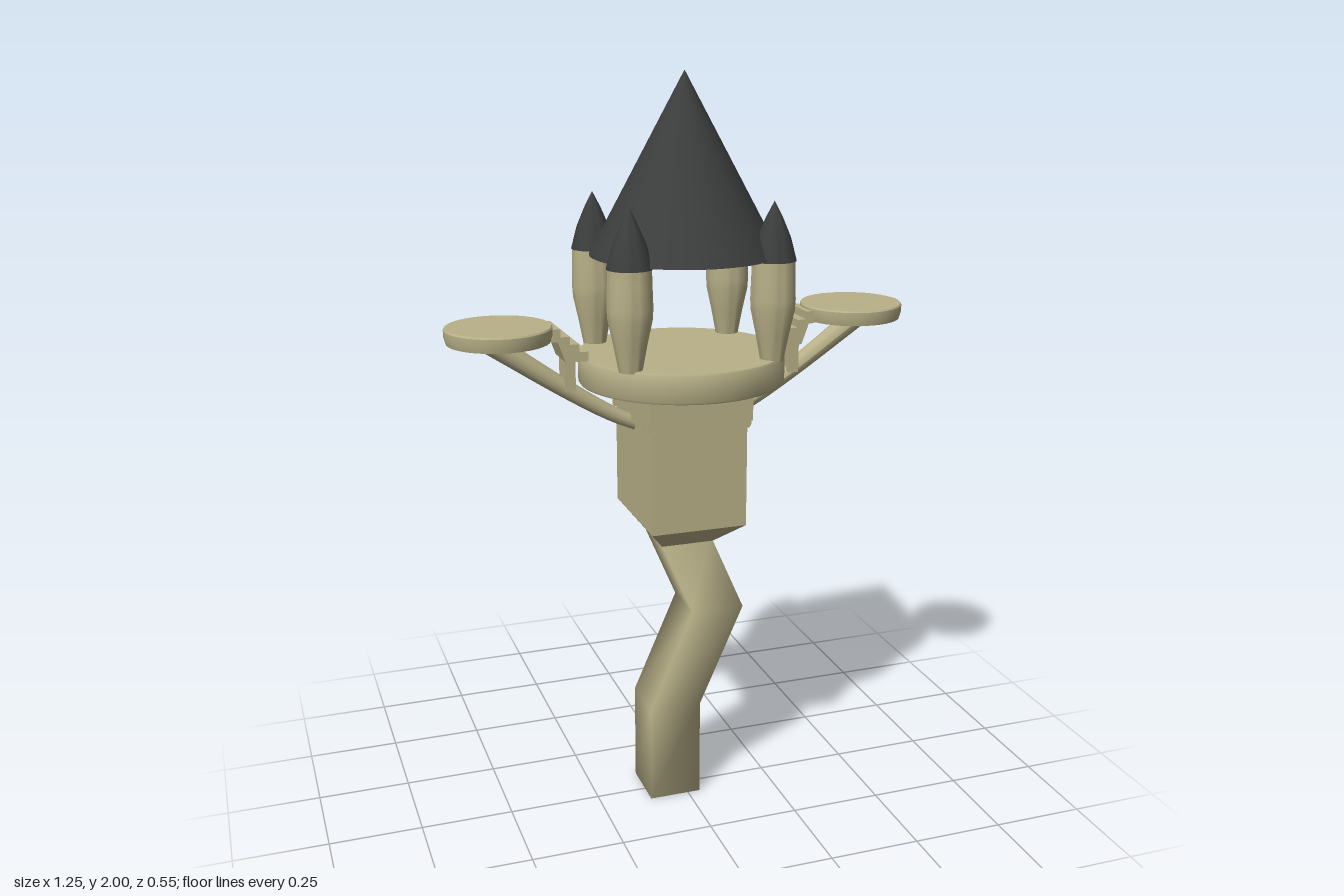
import * as THREE from 'three';
import { toCreasedNormals } from 'three/addons/utils/BufferGeometryUtils.js';

const stone = new THREE.MeshStandardMaterial({ color: 0xb8b088 });
const slate = new THREE.MeshStandardMaterial({ color: 0x3c3e3e });

function add(parent, name, geometry, material, x = 0, y = 0, z = 0) {
  const mesh = new THREE.Mesh(geometry, material);
  mesh.name = name;
  mesh.position.set(x, y, z);
  parent.add(mesh);
  return mesh;
}

// Closed loft through rectangular sections [y, x0, x1, z0, z1], bottom to top
function rectLoft(sections) {
  const pos = [], idx = [];
  for (const [y, x0, x1, z0, z1] of sections)
    pos.push(x0, y, z1, x1, y, z1, x1, y, z0, x0, y, z0);
  for (let s = 0; s < sections.length - 1; s++)
    for (let i = 0; i < 4; i++) {
      const a = s * 4 + i, b = s * 4 + (i + 1) % 4;
      idx.push(a, b, b + 4, a, b + 4, a + 4);
    }
  const t = (sections.length - 1) * 4;
  idx.push(0, 2, 1, 0, 3, 2, t, t + 1, t + 2, t, t + 2, t + 3);
  const g = new THREE.BufferGeometry();
  g.setAttribute('position', new THREE.Float32BufferAttribute(pos, 3));
  g.setIndex(idx);
  g.computeVertexNormals();
  return g;
}

function lathe(points) {
  const pts = points.map(([r, y]) => new THREE.Vector2(r, y));
  return toCreasedNormals(new THREE.LatheGeometry(pts, 40), 0.6);
}

// Round tube along a curve whose radius changes from r0 to r1
function taperedTube(curve, r0, r1) {
  const n = 24, sides = 14;
  const g = new THREE.TubeGeometry(curve, n, 1, sides);
  const p = g.attributes.position, v = new THREE.Vector3();
  for (let i = 0; i <= n; i++) {
    const c = curve.getPointAt(i / n);
    for (let j = 0; j <= sides; j++) {
      const k = i * (sides + 1) + j;
      v.fromBufferAttribute(p, k).sub(c).multiplyScalar(r0 + (r1 - r0) * i / n).add(c);
      p.setXYZ(k, v.x, v.y, v.z);
    }
  }
  g.computeVertexNormals();
  return g;
}

export function createModel() {
  const model = new THREE.Group();
  model.name = 'crookedTower';

  // Crooked square stem
  add(model, 'stem', rectLoft([
    [0, -0.11, 0.035, -0.09, 0.06],
    [0.275, -0.11, 0.035, -0.09, 0.06],
    [0.555, 0.013, 0.16, -0.09, 0.06],
    [0.78, -0.083, 0.062, -0.09, 0.06],
  ]), stone);

  // Main block with its flared underside
  add(model, 'towerBody', toCreasedNormals(rectLoft([
    [0.76, -0.075, 0.07, -0.09, 0.06],
    [0.835, -0.135, 0.125, -0.155, 0.165],
    [1.13, -0.135, 0.125, -0.155, 0.165],
  ]), 0.3), stone);

  // Collar with a row of small teeth hanging below it
  const x0 = -0.145, x1 = 0.138, z0 = -0.17, z1 = 0.172;
  add(model, 'collar', new THREE.BoxGeometry(x1 - x0, 0.095, z1 - z0), stone,
    (x0 + x1) / 2, 1.1725, (z0 + z1) / 2);
  const teeth = new THREE.Group();
  teeth.name = 'collarTeeth';
  model.add(teeth);
  const alongX = new THREE.BoxGeometry(0.018, 0.022, 0.016);
  const alongZ = new THREE.BoxGeometry(0.016, 0.022, 0.018);
  for (let i = 0; i < 8; i++) {
    const t = (i + 0.5) / 8;
    for (const z of [z0 + 0.008, z1 - 0.008])
      add(teeth, 'tooth', alongX, stone, x0 + t * (x1 - x0), 1.118, z);
    for (const x of [x0 + 0.008, x1 - 0.008])
      add(teeth, 'tooth', alongZ, stone, x, 1.118, z0 + t * (z1 - z0));
  }

  // Round deck
  add(model, 'deck', lathe([
    [0, 1.207], [0.27, 1.207], [0.273, 1.212], [0.273, 1.28], [0.27, 1.285], [0, 1.285],
  ]), stone);

  // Four corner turrets carrying the roof
  const turretBody = lathe([
    [0, 1.28], [0.03, 1.28], [0.043, 1.35], [0.056, 1.41],
    [0.058, 1.44], [0.056, 1.5], [0.055, 1.54], [0, 1.54],
  ]);
  const turretCap = lathe([
    [0, 1.538], [0.058, 1.538], [0.043, 1.595], [0.022, 1.645], [0, 1.688],
  ]);
  for (const sx of [-1, 1])
    for (const sz of [-1, 1]) {
      const turret = new THREE.Group();
      turret.name = 'turret';
      turret.position.set(sx * 0.19, 0, sz * 0.165);
      add(turret, 'turretBody', turretBody, stone);
      add(turret, 'turretCap', turretCap, slate);
      model.add(turret);
    }

  // Main roof
  add(model, 'mainRoof', new THREE.ConeGeometry(0.246, 0.458, 64), slate, 0.004, 1.771, 0.014);

  // Side platforms with stairs, post and curved bracket
  const disc = lathe([
    [0, 1.342], [0.132, 1.342], [0.137, 1.36], [0.137, 1.378], [0.134, 1.382], [0, 1.382],
  ]);
  const bracket = taperedTube(new THREE.CatmullRomCurve3([
    new THREE.Vector3(0.1, 1.085, -0.003),
    new THREE.Vector3(0.19, 1.127, -0.003),
    new THREE.Vector3(0.3, 1.195, -0.003),
    new THREE.Vector3(0.53, 1.355, -0.003),
  ]), 0.018, 0.03);
  const stairShape = new THREE.Shape();
  stairShape.moveTo(0.265, 1.285);
  const steps = 4;
  for (let i = 0; i < steps; i++) {
    const x = 0.265 + i * 0.024, y = 1.31 + i * 0.021;
    stairShape.lineTo(x, y);
    stairShape.lineTo(x + 0.024, y);
  }
  stairShape.lineTo(0.361, 1.34);
  stairShape.lineTo(0.345, 1.34);
  stairShape.lineTo(0.325, 1.285);
  const stairs = new THREE.ExtrudeGeometry(stairShape, { depth: 0.105, bevelEnabled: false });
  for (const side of [1, -1]) {
    const wing = new THREE.Group();
    wing.name = side > 0 ? 'leftWing' : 'rightWing';
    if (side < 0) wing.rotation.y = Math.PI;
    add(wing, 'platform', disc, stone, 0.487);
    add(wing, 'bracket', bracket, stone);
    add(wing, 'stairs', stairs, stone, 0, 0, side > 0 ? -0.06 : -0.045);
    add(wing, 'stairPost', new THREE.BoxGeometry(0.028, 0.09, 0.06), stone, 0.31, 1.25, 0);
    model.add(wing);
  }
  return model;
}
